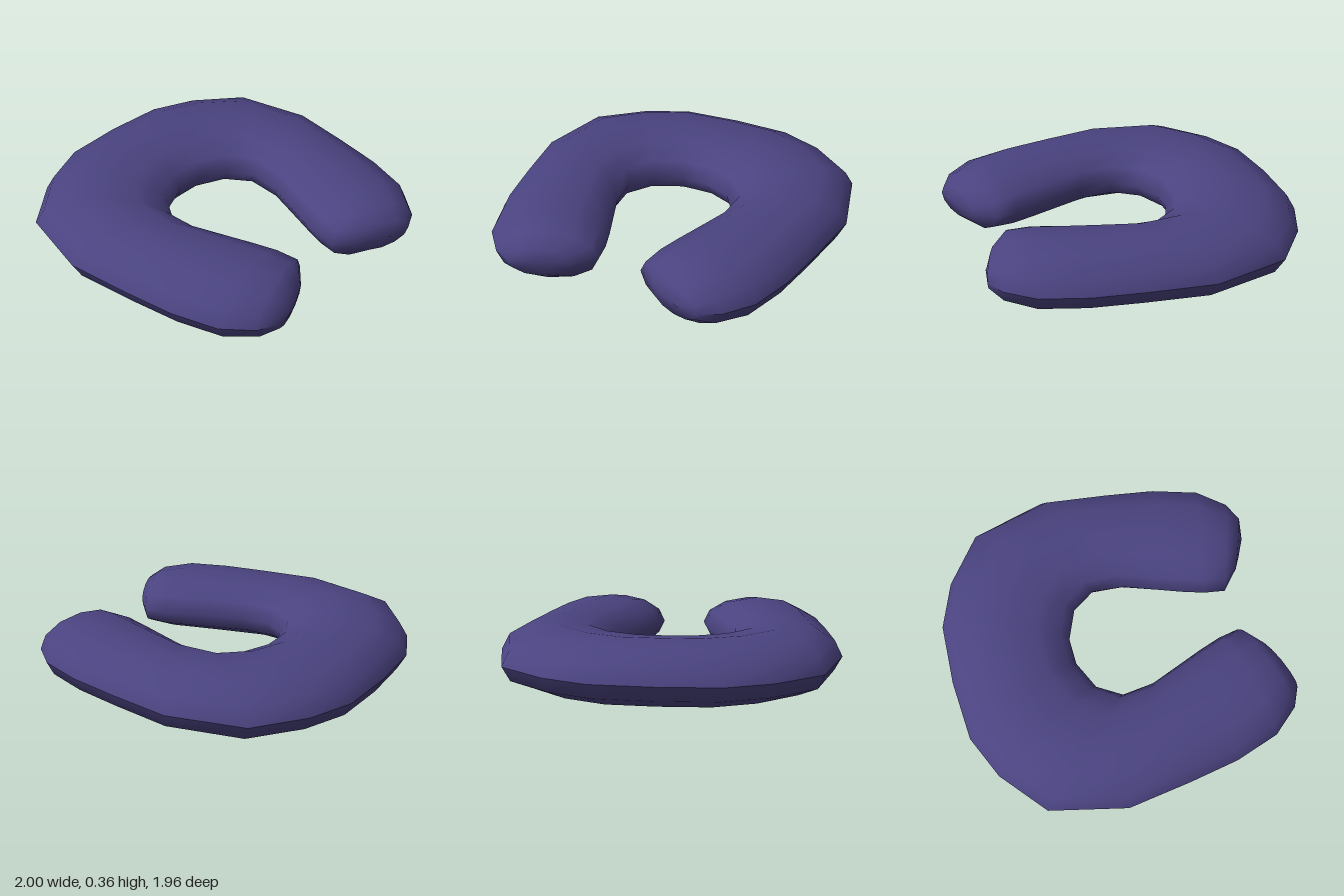
import * as THREE from 'three';

const SIDES = 12;
const MID = 0.18;

// Half of the U, from the back to one tip: outer x, outer z, inner x, inner z, half height
const HALF = [
  [0, -0.98, 0, -0.245, 0.18],
  [0.36, -0.96, 0.08, -0.245, 0.18],
  [0.62, -0.85, 0.25, -0.17, 0.18],
  [0.89, -0.63, 0.34, -0.03, 0.18],
  [1.0, -0.18, 0.32, 0.16, 0.18],
  [0.95, 0.2, 0.25, 0.345, 0.18],
  [0.9, 0.5, 0.195, 0.49, 0.18],
  [0.815, 0.765, 0.152, 0.62, 0.178],
  [0.685, 0.92, 0.13, 0.745, 0.152],
  [0.57, 0.975, 0.25, 0.855, 0.088],
  [0.43, 0.95, 0.33, 0.9, 0],
];

// Lofts elliptical sections along the U; the seam on the outer rim stays sharp
function cushionGeometry() {
  const mirrored = HALF.slice(1).reverse().map(([a, b, c, d, h]) => [-a, b, -c, d, h]);
  const stations = [...mirrored, ...HALF];
  const row = SIDES + 1;
  const positions = [];
  const index = [];
  stations.forEach(([ox, oz, ix, iz, h], i) => {
    for (let j = 0; j <= SIDES; j++) {
      const t = (j / SIDES) * Math.PI * 2;
      const k = (1 + Math.cos(t)) / 2;
      positions.push(ix + (ox - ix) * k, MID + h * Math.sin(t), iz + (oz - iz) * k);
      if (i < stations.length - 1 && j < SIDES) {
        const a = i * row + j;
        index.push(a, a + 1, a + row, a + 1, a + row + 1, a + row);
      }
    }
  });
  const geometry = new THREE.BufferGeometry();
  geometry.setAttribute('position', new THREE.Float32BufferAttribute(positions, 3));
  geometry.setIndex(index);
  geometry.computeVertexNormals();

  // Round the shading over both tips
  const normals = geometry.attributes.normal;
  const last = stations.length - 1;
  for (const i of [1, last - 1]) {
    const a = new THREE.Vector3().fromBufferAttribute(normals, i * row);
    const b = new THREE.Vector3().fromBufferAttribute(normals, i * row + SIDES);
    a.add(b).normalize();
    normals.setXYZ(i * row, a.x, a.y, a.z);
    normals.setXYZ(i * row + SIDES, a.x, a.y, a.z);
  }
  for (const [i, side] of [[0, -1], [last, 1]]) {
    for (let j = 0; j <= SIDES; j++) normals.setXYZ(i * row + j, -0.447 * side, 0, 0.894);
  }
  return geometry;
}

export function createModel() {
  const group = new THREE.Group();
  group.name = 'neckPillow';
  const fabric = new THREE.MeshStandardMaterial({ color: 0x4a4380 });
  fabric.name = 'purple fabric';
  const cushion = new THREE.Mesh(cushionGeometry(), fabric);
  cushion.name = 'cushion';
  group.add(cushion);
  return group;
}
